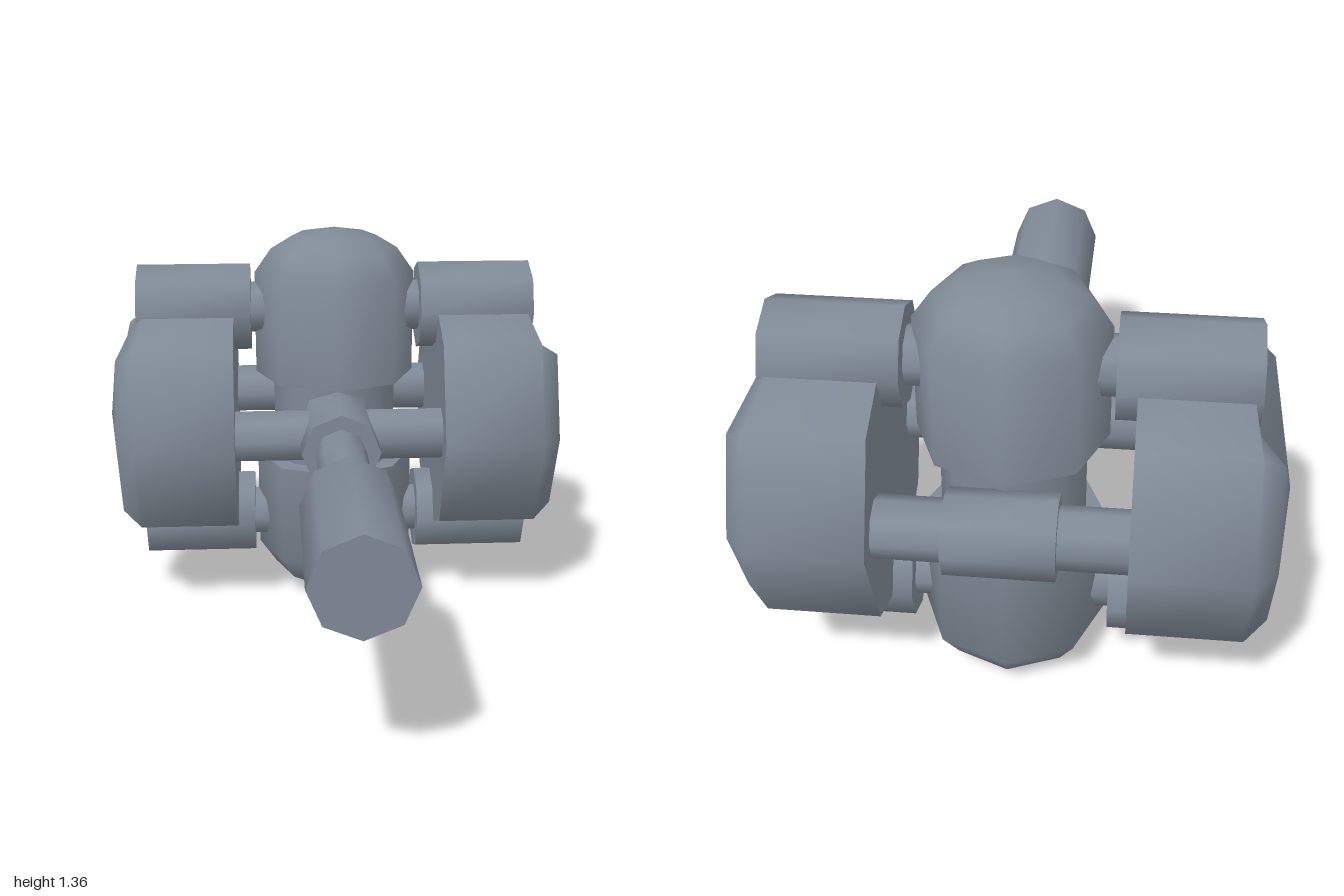
import * as THREE from 'three';
import { toCreasedNormals } from 'three/addons/utils/BufferGeometryUtils.js';

const steel = new THREE.MeshStandardMaterial({ color: 0x7f8a96 });
steel.name = 'blueGreySteel';

const MID_Y = 0.685, MID_Z = -0.54;

// Eight-sided turned solid; profile is [radius, position along the axis]
function turned(profile) {
  return new THREE.LatheGeometry(profile.map(([r, h]) => new THREE.Vector2(r, h)), 8);
}
function rod(r, from, to) {
  return turned([[0, from], [r, from], [r, to], [0, to]]);
}

export function createModel() {
  const model = new THREE.Group();
  model.name = 'clusterHammer';

  // Turns the solid's axis from +y to the wanted direction and places it
  function add(name, geometry, axis, x, y, z) {
    if (axis === '+x') geometry.rotateZ(-Math.PI / 2);
    if (axis === '-x') geometry.rotateZ(Math.PI / 2);
    if (axis === '+z') geometry.rotateX(Math.PI / 2);
    if (axis === '-y') geometry.rotateX(Math.PI);
    const mesh = new THREE.Mesh(toCreasedNormals(geometry, Math.PI / 3), steel);
    mesh.name = name;
    mesh.position.set(x, y, z);
    model.add(mesh);
  }

  // Handle, shaft and front hub
  add('handle', turned([[0, 0.29], [0.11, 0.29], [0.155, 0.41], [0.155, 1], [0, 1]]), '+z', 0, MID_Y, 0);
  add('shaft', rod(0.087, -0.1, 0.3), '+z', 0, MID_Y, 0);
  add('frontHub', rod(0.135, -0.36, -0.05), '+z', 0, MID_Y, 0);

  // Cross bars joining the two side drums
  add('frontCrossBar', rod(0.092, -0.4, 0.4), '+x', 0, MID_Y, -0.25);
  add('rearCrossBar', rod(0.092, -0.4, 0.4), '+x', 0, MID_Y, -0.835);
  add('rearCollar', rod(0.125, -0.16, 0.16), '+x', 0, MID_Y, -0.835);

  // Central column with a dome at each end
  add('coreColumn', rod(0.22, -0.2, 0.2), '+y', 0, MID_Y, MID_Z);
  for (const [name, axis] of [['upperDome', '+y'], ['lowerDome', '-y']]) {
    add(name, turned([[0, 0.155], [0.285, 0.155], [0.285, 0.52], [0.225, 0.605],
      [0.15, 0.65], [0, 0.68]]), axis, 0, MID_Y, MID_Z);
  }

  for (const [side, axis] of [['left', '+x'], ['right', '-x']]) {
    // Side drum, its outer face dented above and below around the barrel ends
    const drum = turned([[0, 0.36], [0.457, 0.36], [0.457, 0.7], [0.39, 0.765], [0, 0.82]]);
    const p = drum.attributes.position;
    for (let i = 0; i < p.count; i++) {
      const x = p.getX(i);
      if (Math.abs(p.getZ(i)) < 0.01 && Math.abs(x) > 0.1 && p.getY(i) > 0.5) {
        p.setX(i, Math.sign(x) * (Math.abs(x) > 0.42 ? 0.457 : 0.25));
        p.setY(i, 0.66);
      }
    }
    add(side + 'Drum', drum, axis, 0, MID_Y, MID_Z);

    // Barrels above and below each drum, with necks into the domes
    for (const [level, y] of [['Upper', 1.08], ['Lower', 0.29]]) {
      add(side + level + 'Barrel', rod(0.157, 0.3, 0.7), axis, 0, y, MID_Z);
      add(side + level + 'Neck', rod(0.092, 0.1, 0.35), axis, 0, y, MID_Z);
    }
  }
  return model;
}
